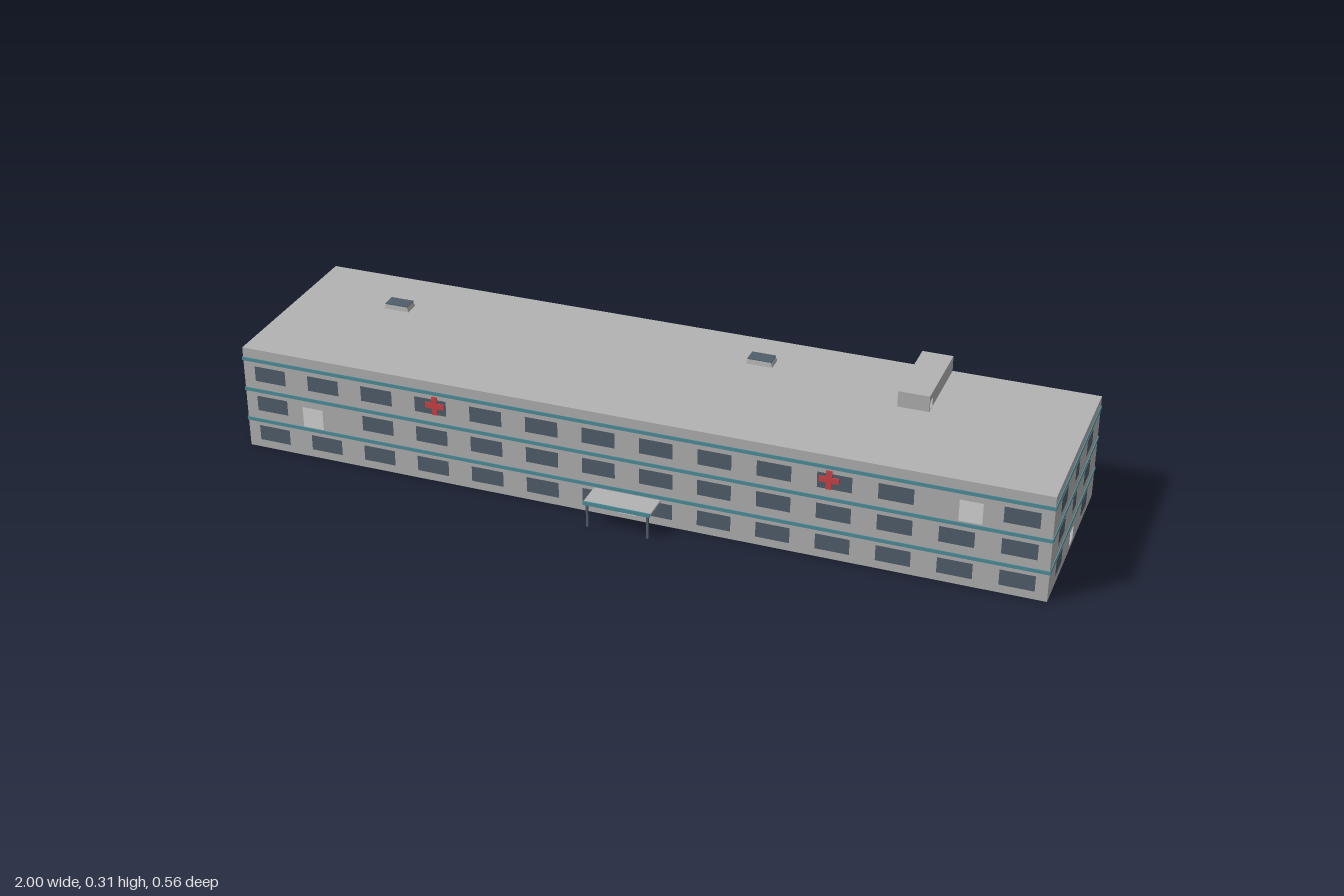
import * as THREE from 'three';

const flat = (color, name) => new THREE.MeshStandardMaterial({ color, name, side: THREE.DoubleSide });

export function createModel() {
  const concrete = flat(0xb2b2b2, 'concrete');
  const glass = flat(0x505e6b, 'slate glass');
  const teal = flat(0x4f8f9c, 'teal trim');
  const red = flat(0xcc4448, 'red sign');

  const model = new THREE.Group();
  model.name = 'longBuilding';

  // Main dimensions
  const X = 0.998, FRONT = 0.21, BACK = -0.278, H = 0.27;
  const midZ = (FRONT + BACK) / 2, depth = FRONT - BACK;
  const rows = [0.0405, 0.1225, 0.2035];
  const winH = 0.04;

  function box(name, mat, x0, x1, y0, y1, z0, z1, parent = model) {
    const m = new THREE.Mesh(new THREE.BoxGeometry(x1 - x0, y1 - y0, z1 - z0), mat);
    m.position.set((x0 + x1) / 2, (y0 + y1) / 2, (z0 + z1) / 2);
    m.name = name;
    parent.add(m);
    return m;
  }

  function trace(path, { x, y, w, h }) {
    path.moveTo(x - w / 2, y - h / 2);
    path.lineTo(x + w / 2, y - h / 2);
    path.lineTo(x + w / 2, y + h / 2);
    path.lineTo(x - w / 2, y + h / 2);
    path.closePath();
    return path;
  }

  // Thin wall in its own XY plane, with glazed windows and open doorways
  function wall(name, w, h, windows, openings) {
    const group = new THREE.Group();
    group.name = name;
    const shape = trace(new THREE.Shape(), { x: 0, y: h / 2, w, h });
    [...windows, ...openings].forEach(r => shape.holes.push(trace(new THREE.Path(), r)));
    const face = new THREE.Mesh(new THREE.ShapeGeometry(shape), concrete);
    face.name = name + 'Face';
    group.add(face);
    if (windows.length) {
      const panes = new THREE.Mesh(
        new THREE.ShapeGeometry(windows.map(r => trace(new THREE.Shape(), r))), glass);
      panes.name = name + 'Windows';
      group.add(panes);
    }
    model.add(group);
    return group;
  }

  function slab(name, w, d, x, y, z, up) {
    const m = new THREE.Mesh(new THREE.PlaneGeometry(w, d), concrete);
    m.rotation.x = up ? -Math.PI / 2 : Math.PI / 2;
    m.position.set(x, y, z);
    m.name = name;
    model.add(m);
  }

  const bay = i => (i - 6.5) * 0.1427;

  // Front wall: fourteen bays, two of them open, and the entrance
  const frontWindows = [];
  rows.forEach((y, r) => {
    for (let i = 0; i < 14; i++) {
      if ((r === 1 && i === 1) || (r === 2 && i === 12)) continue;
      frontWindows.push({ x: bay(i), y, w: 0.082, h: winH });
    }
  });
  wall('frontWall', 2 * X, H, frontWindows, [
    { x: -0.818, y: 0.108, w: 0.054, h: 0.054 },
    { x: 0.813, y: 0.193, w: 0.054, h: 0.054 },
    { x: 0, y: 0.03, w: 0.042, h: 0.036 },
  ]).position.z = FRONT;

  // Back wall (mirrored by its half turn): narrow stair windows and two doorways
  const backWindows = [];
  rows.forEach((y, r) => {
    for (let i = 0; i < 14; i++) {
      if (r === 0 && (i === 3 || i === 7)) continue;
      const stair = i === 2 || i === 11;
      backWindows.push({ x: -bay(i) - (stair ? 0.03 : 0), y, w: stair ? 0.03 : 0.082, h: winH });
    }
  });
  const backWall = wall('backWall', 2 * X, H, backWindows,
    [bay(3), bay(7)].map(x => ({ x: -x, y: 0.03, w: 0.042, h: 0.036 })));
  backWall.rotation.y = Math.PI;
  backWall.position.z = BACK;

  // End walls
  for (const s of [1, -1]) {
    const windows = [];
    rows.forEach((y, r) => {
      windows.push({ x: -0.136, y, w: 0.065, h: winH }, { x: 0.136, y, w: 0.065, h: winH });
      if (r) windows.push({ x: 0, y, w: 0.039, h: winH });
    });
    const end = wall(s > 0 ? 'leftEndWall' : 'rightEndWall', depth, H, windows,
      [{ x: 0, y: 0.03, w: 0.038, h: 0.036 }]);
    end.rotation.y = s * Math.PI / 2;
    end.position.set(s * X, 0, midZ);
  }

  // Roof and floor
  slab('roof', 2 * X, depth, 0, H, midZ, true);
  slab('floor', 2 * X, depth, 0, 0, midZ, false);

  // Teal bands around each storey
  const t = 0.002;
  for (const y of [0.0755, 0.158, 0.2405]) {
    const y0 = y - 0.0045, y1 = y + 0.0045;
    box('frontBand', teal, -X - t, X + t, y0, y1, FRONT, FRONT + t);
    box('backBand', teal, -X - t, X + t, y0, y1, BACK - t, BACK);
    box('leftBand', teal, X, X + t, y0, y1, BACK, FRONT);
    box('rightBand', teal, -X - t, -X, y0, y1, BACK, FRONT);
  }

  // Red plus signs
  function plusSign(x, z) {
    const g = new THREE.Group();
    g.name = 'plusSign';
    const a = 0.024, b = 0.007, d = 0.0015;
    box('signUpright', red, -b, b, -a, a, -d, d, g);
    box('signArmLeft', red, b, a, -b, b, -d, d, g);
    box('signArmRight', red, -a, -b, -b, b, -d, d, g);
    g.position.set(x, 0.208, z);
    model.add(g);
  }
  plusSign(-0.487, FRONT + 0.002);
  plusSign(0.487, FRONT + 0.002);
  plusSign(0, BACK - 0.002);

  // Entrance canopy on two posts
  box('canopy', concrete, -0.083, 0.083, 0.062, 0.068, FRONT, 0.277);
  box('canopyLip', teal, -0.083, 0.083, 0.06, 0.07, 0.277, 0.28);
  for (const s of [-1, 1])
    box('canopyPost', glass, s * 0.075 - 0.0025, s * 0.075 + 0.0025, 0, 0.062, 0.271, 0.276);

  // Rooftop stair house with an open doorway on its left side
  const px = 0.603, pw = 0.076, pz0 = -0.277, pz1 = -0.0625, ph = 0.04;
  const pz = (pz0 + pz1) / 2, pd = pz1 - pz0;
  [
    ['stairHouseFront', pw, 0, px, pz1, []],
    ['stairHouseBack', pw, Math.PI, px, pz0, []],
    ['stairHouseLeft', pd, Math.PI / 2, px + pw / 2, pz,
      [{ x: -0.09, y: 0.0125, w: 0.023, h: 0.022 }]],
    ['stairHouseRight', pd, -Math.PI / 2, px - pw / 2, pz, []],
  ].forEach(([name, w, turn, x, z, doors]) => {
    const g = wall(name, w, ph, [], doors);
    g.rotation.y = turn;
    g.position.set(x, H, z);
  });
  slab('stairHouseRoof', pw, pd, px, H + ph, pz, true);

  // Skylights: tapered kerbs with a glass top
  for (const [x, z] of [[-0.738, -0.122], [0.202, -0.161]]) {
    const kerb = new THREE.CylinderGeometry(Math.SQRT1_2 * 0.88, Math.SQRT1_2, 1, 4, 1, false, Math.PI / 4)
      .toNonIndexed();
    kerb.computeVertexNormals();
    const base = new THREE.Mesh(kerb, concrete);
    base.scale.set(0.066, 0.012, 0.04);
    base.position.set(x, H + 0.006, z);
    base.name = 'skylightKerb';
    model.add(base);
    box('skylightGlass', glass, x - 0.03, x + 0.03, H + 0.012, H + 0.014, z - 0.0185, z + 0.0185);
  }

  return model;
}
